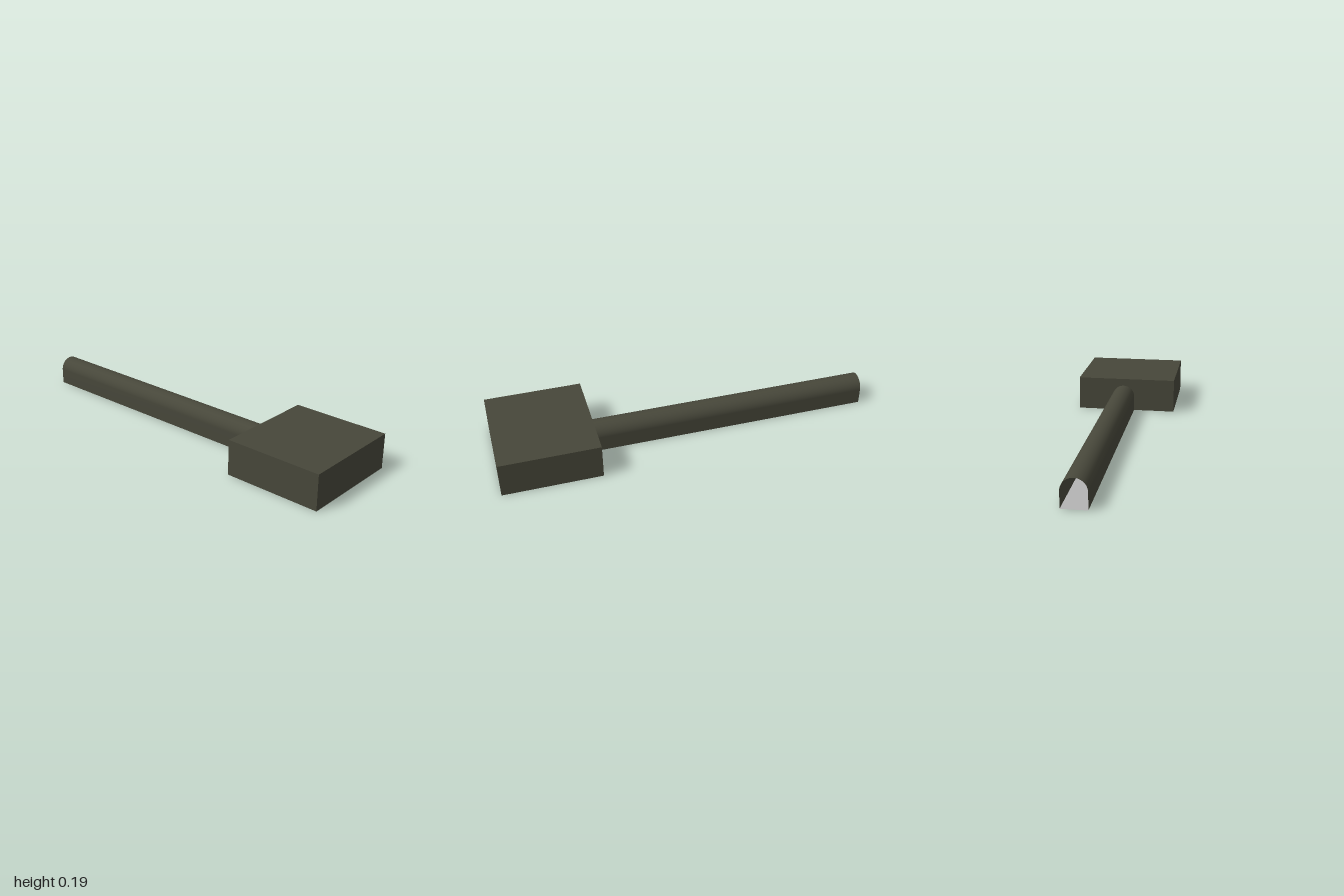
import * as THREE from 'three';

export function createModel() {
  const group = new THREE.Group();
  const stone = new THREE.MeshStandardMaterial({ color: 0x47473a, side: THREE.DoubleSide });
  stone.name = 'dark olive wall';
  const floorMat = new THREE.MeshStandardMaterial({ color: 0xb4b4b4, side: THREE.DoubleSide });
  floorMat.name = 'light grey floor';

  const add = (name, geometry, material, x = 0, y = 0, z = 0) => {
    const mesh = new THREE.Mesh(geometry, material);
    mesh.name = name;
    mesh.position.set(x, y, z);
    group.add(mesh);
    return mesh;
  };

  // Main dimensions: room from x = 0.49 to 1, corridor from x = -1 to 0.49
  const split = 0.49, roomW = 1 - split, roomH = 0.185, roomD = 0.554;
  const roomX = (1 + split) / 2;
  const hallL = split + 1, hallX = (split - 1) / 2;
  const hallZ = -0.0165, r = 0.0625, spring = 0.145 - r;

  // Arch cross-section, from the front base over the top to the back base
  const steps = 24;
  const profile = [[hallZ + r, 0]];
  for (let i = 0; i <= steps; i++) {
    const a = (i / steps) * Math.PI;
    profile.push([hallZ + r * Math.cos(a), spring + r * Math.sin(a)]);
  }
  profile.push([hallZ - r, 0]);

  // Corridor: a sheet bent along the arch, open at the far end
  const rows = profile.length - 1;
  const vault = new THREE.PlaneGeometry(hallL, 1, 1, rows);
  const pos = vault.attributes.position;
  for (let i = 0; i < pos.count; i++) {
    const [z, y] = profile[rows - Math.floor(i / 2)];
    pos.setXYZ(i, pos.getX(i), y, z);
  }
  vault.computeVertexNormals();
  add('corridorVault', vault, stone, hallX);

  // Room walls and ceiling
  for (const s of [1, -1]) {
    const wall = add(s > 0 ? 'roomFrontWall' : 'roomBackWall',
      new THREE.PlaneGeometry(roomW, roomH), stone, roomX, roomH / 2, s * roomD / 2);
    if (s < 0) wall.rotation.y = Math.PI;
  }
  add('roomEndWall', new THREE.PlaneGeometry(roomD, roomH), stone, 1, roomH / 2, 0)
    .rotation.y = Math.PI / 2;
  add('roomCeiling', new THREE.PlaneGeometry(roomW, roomD), stone, roomX, roomH, 0)
    .rotation.x = -Math.PI / 2;

  // Room wall with the arched doorway into the corridor, as one outline
  const doorWall = new THREE.Shape([
    [-roomD / 2, 0], ...[...profile].reverse(),
    [roomD / 2, 0], [roomD / 2, roomH], [-roomD / 2, roomH],
  ].map(([z, y]) => new THREE.Vector2(z, y)));
  add('doorwayWall', new THREE.ShapeGeometry(doorWall), stone, split)
    .rotation.y = -Math.PI / 2;

  // Floors
  add('roomFloor', new THREE.PlaneGeometry(roomW, roomD), floorMat, roomX)
    .rotation.x = -Math.PI / 2;
  add('corridorFloor', new THREE.PlaneGeometry(hallL, 2 * r), floorMat, hallX, 0, hallZ)
    .rotation.x = -Math.PI / 2;

  return group;
}
